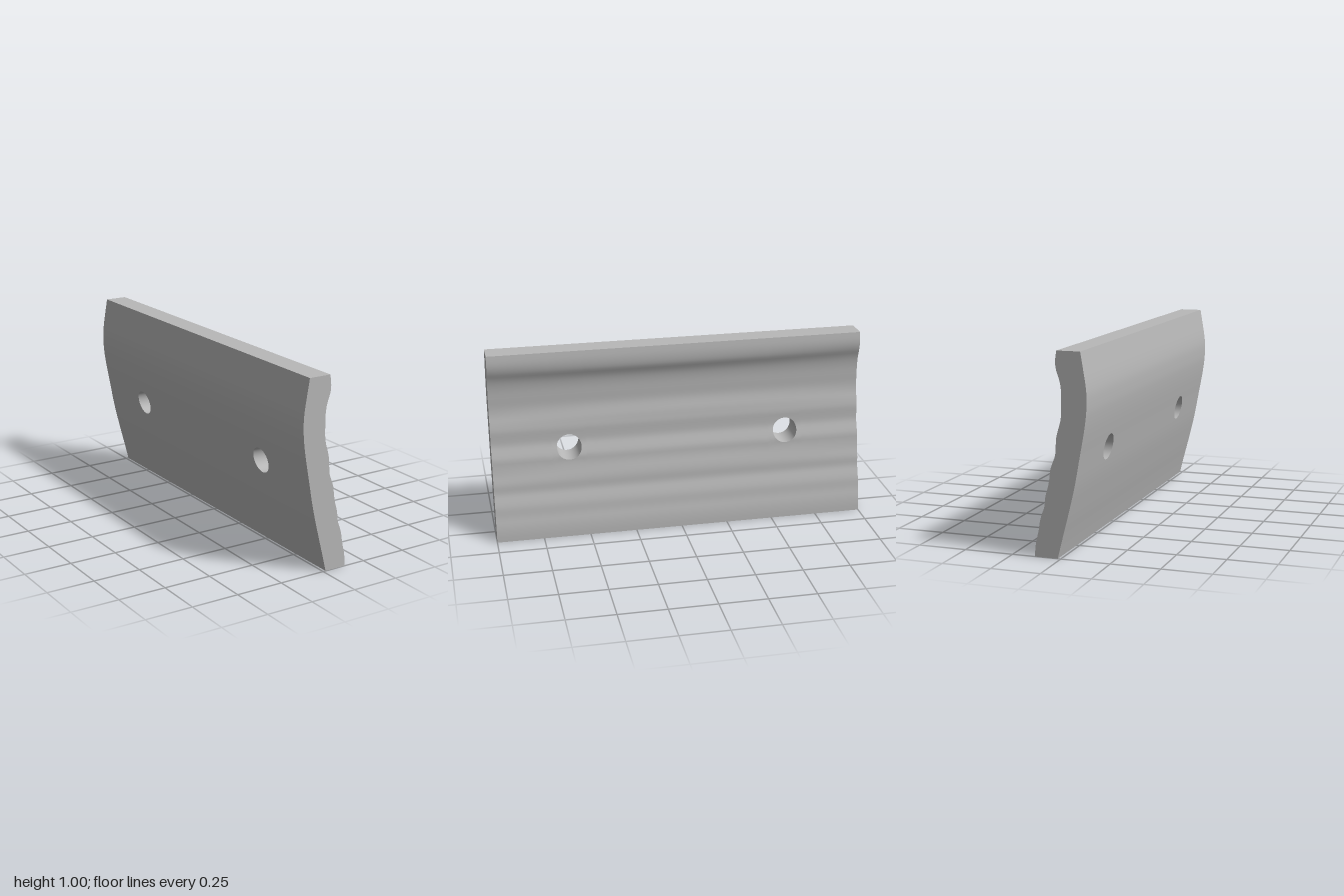
import * as THREE from 'three';
import { mergeVertices } from 'three/addons/utils/BufferGeometryUtils.js';

// Profile of each broad side: [height, x]
const RIPPLED = [[0, 0.133], [0.04, 0.13], [0.08, 0.124], [0.13, 0.112], [0.18, 0.104], [0.21, 0.095],
  [0.25, 0.081], [0.3, 0.075], [0.35, 0.061], [0.4, 0.052], [0.43, 0.049], [0.46, 0.039], [0.5, 0.024],
  [0.54, 0.02], [0.58, 0.018], [0.62, 0.009], [0.66, -0.003], [0.7, -0.009], [0.75, -0.01], [0.8, -0.01],
  [0.84, -0.006], [0.87, 0.001], [0.9, 0.012], [0.93, 0.018], [0.96, 0.018], [1, 0.012]];
const BACK = [[0, 0.015], [0.1, -0.01], [0.2, -0.036], [0.35, -0.072], [0.5, -0.1], [0.62, -0.122],
  [0.7, -0.133], [0.75, -0.136], [0.8, -0.136], [0.85, -0.131], [0.9, -0.123], [1, -0.106]];
const HOLE_Y = 0.475, HOLE_Z = 0.59, HOLE_R = 0.066, PATCH = 0.095, N = 12, RINGS = 4;

// Smooth cubic interpolation through a profile
function sample(profile, y) {
  let i = 0;
  while (i < profile.length - 2 && y > profile[i + 1][0]) i++;
  const at = (k) => profile[Math.min(Math.max(k, 0), profile.length - 1)];
  const slope = (k) => (at(k + 1)[1] - at(k - 1)[1]) / (at(k + 1)[0] - at(k - 1)[0]);
  const [y0, x0] = at(i), [y1, x1] = at(i + 1), h = y1 - y0, t = (y - y0) / h;
  const s = t * t * (3 - 2 * t);
  return x0 + (x1 - x0) * s + h * (slope(i) * t * (1 - t) ** 2 - slope(i + 1) * t * t * (1 - t));
}

// The ripples swell slightly towards the middle of the length
const swell = (y) => [0.34, 0.65, 0.89].reduce((s, c) => s + Math.exp(-(((y - c) / 0.035) ** 2)), 0);
const front = (y, z) => [sample(RIPPLED, y) + 0.004 * (1 - z * z) * swell(y), y, z];
const back = (y, z) => [sample(BACK, y), y, z];

// Grid lines through the given stops: [end, segments]
function lines(start, stops) {
  const out = [start];
  for (const [end, n] of stops) {
    const from = out[out.length - 1];
    for (let i = 1; i <= n; i++) out.push(from + ((end - from) * i) / n);
  }
  return out;
}
const ys = lines(0, [[HOLE_Y - PATCH, 28], [HOLE_Y + PATCH, N], [1, 32]]);
const zs = lines(-1, [[-HOLE_Z - PATCH, 8], [-HOLE_Z + PATCH, N], [HOLE_Z - PATCH, 20], [HOLE_Z + PATCH, N], [1, 8]]);

// Geometry from quads, welded for smooth normals
function quadsToGeometry(quads, flip = false) {
  const positions = [];
  for (const [a, b, c, d] of quads) {
    const order = flip ? [a, c, b, a, d, c] : [a, b, c, a, c, d];
    for (const p of order) positions.push(...p);
  }
  const g = new THREE.BufferGeometry();
  g.setAttribute('position', new THREE.Float32BufferAttribute(positions, 3));
  const welded = mergeVertices(g, 1e-5);
  welded.computeVertexNormals();
  return welded;
}

// Square perimeter around a hole, matched to the grid
const perimeter = [];
[[1, -1, 0, 1], [1, 1, -1, 0], [-1, 1, 0, -1], [-1, -1, 1, 0]].forEach(([u, v, du, dv]) => {
  for (let i = 0; i < N; i++) perimeter.push([u + (2 * du * i) / N, v + (2 * dv * i) / N]);
});
function ringPoint(i, k, holeZ) {
  const [u, v] = perimeter[i % perimeter.length], len = Math.hypot(u, v), t = k / RINGS;
  const r = (HOLE_R / len) * (1 - t) + PATCH * t;
  return [HOLE_Y + u * r, holeZ + v * r];
}

// One broad side with both bolt holes left open
function broadSide(surface, flip) {
  const quads = [];
  for (let i = 0; i < ys.length - 1; i++) {
    for (let j = 0; j < zs.length - 1; j++) {
      const y = (ys[i] + ys[i + 1]) / 2, z = (zs[j] + zs[j + 1]) / 2;
      if (Math.abs(y - HOLE_Y) < PATCH && Math.abs(Math.abs(z) - HOLE_Z) < PATCH) continue;
      quads.push([surface(ys[i], zs[j]), surface(ys[i + 1], zs[j]),
        surface(ys[i + 1], zs[j + 1]), surface(ys[i], zs[j + 1])]);
    }
  }
  for (const hz of [-HOLE_Z, HOLE_Z]) {
    for (let i = 0; i < perimeter.length; i++) {
      for (let k = 0; k < RINGS; k++) {
        quads.push([[i, k], [i, k + 1], [i + 1, k + 1], [i + 1, k]].map(([a, b]) => surface(...ringPoint(a, b, hz))));
      }
    }
  }
  return quadsToGeometry(quads, flip);
}

export function createModel() {
  const group = new THREE.Group();
  group.name = 'curvedPlate';
  const steel = new THREE.MeshStandardMaterial({ color: 0xb8b8b8 });
  steel.name = 'grey steel';
  const add = (name, geometry) => {
    const mesh = new THREE.Mesh(geometry, steel);
    mesh.name = name;
    group.add(mesh);
  };

  add('rippledFace', broadSide(front, false));
  add('backFace', broadSide(back, true));

  // End faces
  for (const z of [1, -1]) {
    const quads = ys.slice(1).map((y, i) => [back(ys[i], z), front(ys[i], z), front(y, z), back(y, z)]);
    add(z > 0 ? 'frontEnd' : 'rearEnd', quadsToGeometry(quads, z < 0));
  }

  // Top and bottom edges
  for (const y of [1, 0]) {
    const quads = zs.slice(1).map((z, i) => [back(y, zs[i]), back(y, z), front(y, z), front(y, zs[i])]);
    add(y ? 'topEdge' : 'bottomEdge', quadsToGeometry(quads, y === 0));
  }

  // Bolt hole walls
  for (const hz of [-HOLE_Z, HOLE_Z]) {
    const quads = perimeter.map((_, i) => {
      const a = ringPoint(i, 0, hz), b = ringPoint(i + 1, 0, hz);
      return [front(...a), front(...b), back(...b), back(...a)];
    });
    add(hz > 0 ? 'frontBoltHole' : 'rearBoltHole', quadsToGeometry(quads));
  }
  return group;
}
